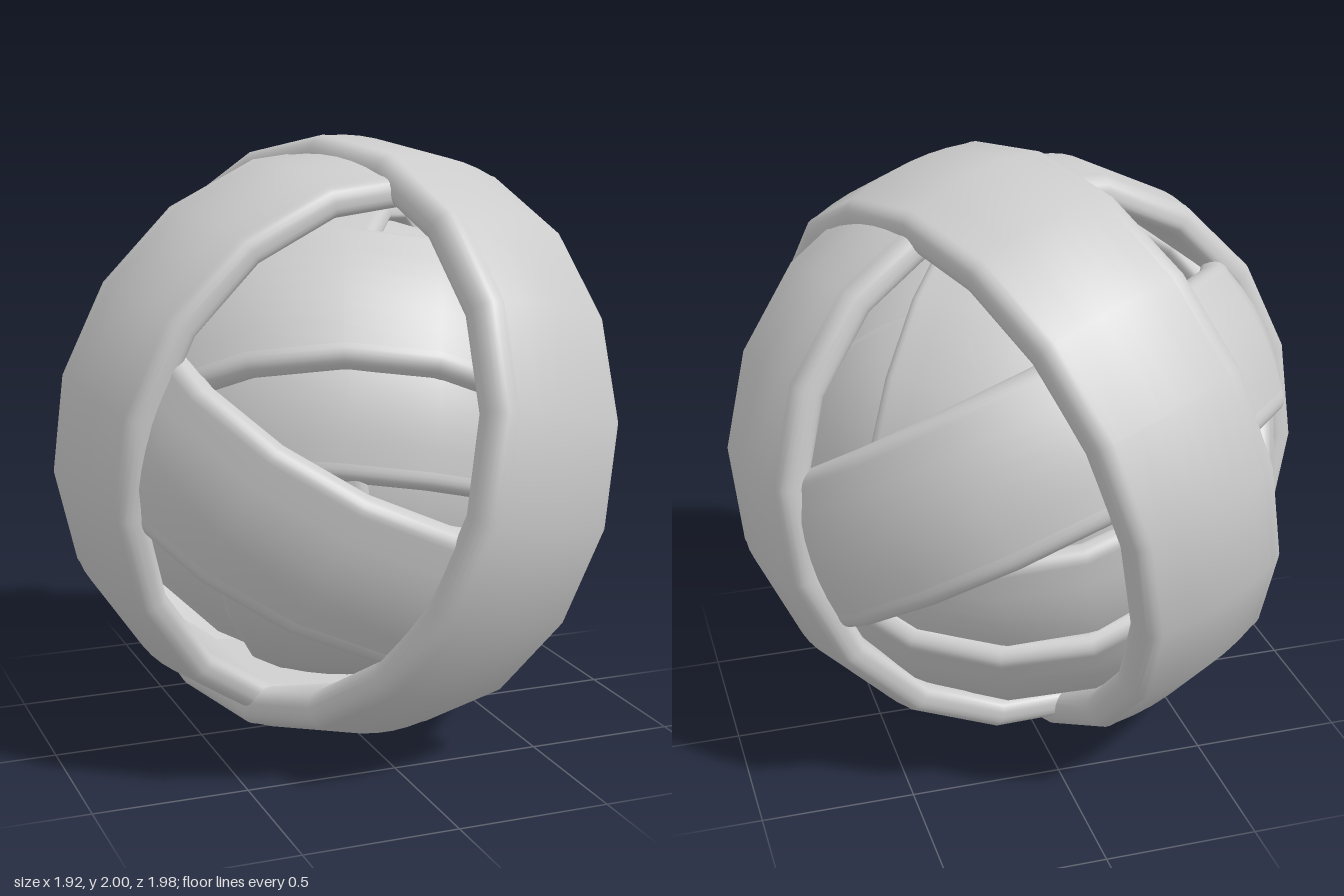
import * as THREE from 'three';

const SIDES = 18;

// Closed cross-section of a band: domed outside, softly rounded rims
function bandProfile(outer, inner, half) {
  const s = new THREE.Shape();
  const c = Math.min(0.07, (outer - inner) / 2);
  const crown = outer - 0.025;
  s.moveTo(crown, -half + c);
  s.quadraticCurveTo(outer + 0.025, 0, crown, half - c);
  s.quadraticCurveTo(crown, half, crown - c, half);
  s.quadraticCurveTo(inner, half, inner, half - c);
  s.lineTo(inner, -half + c);
  s.quadraticCurveTo(inner, -half, crown - c, -half);
  s.quadraticCurveTo(crown, -half, crown, -half + c);
  return s.getPoints(6);
}

// Ring turned about the given axis; phase sets where its corners fall
function makeBand(name, material, { outer, thick, half, axis, phase = 0 }) {
  const profile = bandProfile(outer, outer - thick, half);
  const mesh = new THREE.Mesh(new THREE.LatheGeometry(profile, SIDES, phase), material);
  mesh.name = name;
  mesh.quaternion.setFromUnitVectors(
    new THREE.Vector3(0, 1, 0),
    new THREE.Vector3(...axis).normalize()
  );
  return mesh;
}

export function createModel() {
  const group = new THREE.Group();
  group.name = 'nestedBandBall';
  const material = new THREE.MeshStandardMaterial({ color: 0xcccccc, side: THREE.DoubleSide });

  // Bands from the outermost to the innermost, each tilted differently
  const bands = {
    outerBand: { outer: 0.998, thick: 0.15, half: 0.29, axis: [0.928, -0.21, -0.38], phase: Math.PI / SIDES },
    secondBand: { outer: 0.962, thick: 0.13, half: 0.275, axis: [0.18, -0.12, 1], phase: 0.1 },
    thirdBand: { outer: 0.915, thick: 0.12, half: 0.26, axis: [0.4, 1, 0.46] },
    fourthBand: { outer: 0.87, thick: 0.11, half: 0.25, axis: [0.24, 0.72, -0.65] },
    fifthBand: { outer: 0.82, thick: 0.1, half: 0.24, axis: [0.2, 0.95, -0.3] },
    sixthBand: { outer: 0.8, thick: 0.09, half: 0.26, axis: [0.8, 0.1, 0.55] },
    innerBand: { outer: 0.79, thick: 0.08, half: 0.24, axis: [0.05, 0.68, 0.73] },
  };
  for (const [name, spec] of Object.entries(bands)) {
    const band = makeBand(name, material, spec);
    band.position.y = 1;
    group.add(band);
  }

  // Core that closes the gaps between the inner bands
  const core = new THREE.Mesh(new THREE.SphereGeometry(0.74, 24, 16), material);
  core.name = 'core';
  core.position.y = 1;
  group.add(core);
  return group;
}
